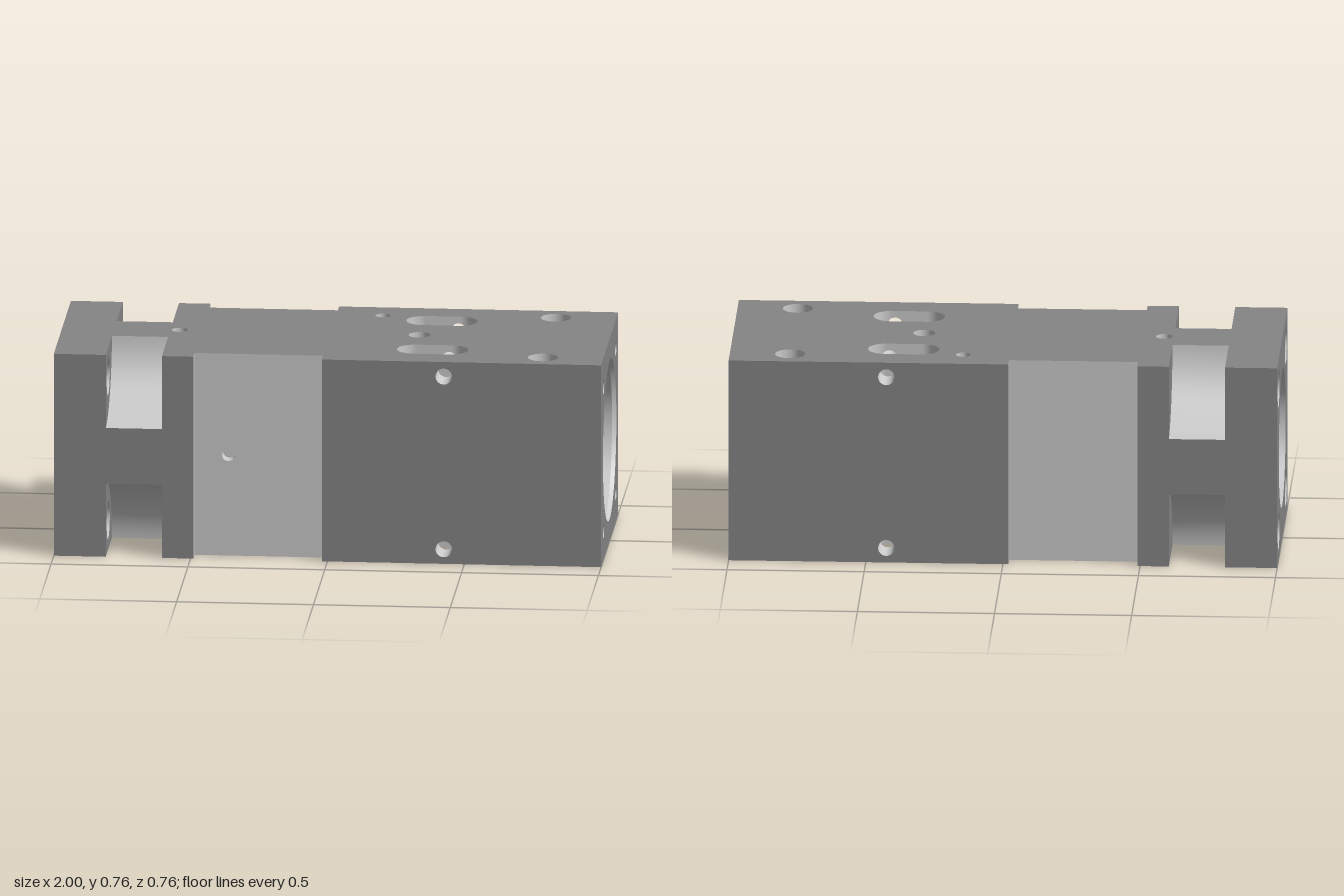
import * as THREE from 'three';

const H = 0.38; // half of the square section
const dark = new THREE.MeshStandardMaterial({ color: 0x858585, side: THREE.DoubleSide });
const light = new THREE.MeshStandardMaterial({ color: 0xcccccc, side: THREE.DoubleSide });

// Outline of a circle, or of a slot when half > 0
function slotPoints(u, v, r, half = 0, n = 48) {
  const pts = [];
  for (let i = 0; i <= n; i++) {
    const a = -Math.PI / 2 + (i / n) * Math.PI;
    pts.push([u + half + r * Math.cos(a), v + r * Math.sin(a)]);
  }
  const m = half ? 16 : 1;
  for (let i = 1; i < m; i++) pts.push([u + half - (2 * half * i) / m, v + r]);
  for (let i = 0; i <= n; i++) {
    const a = Math.PI / 2 + (i / n) * Math.PI;
    pts.push([u - half + r * Math.cos(a), v + r * Math.sin(a)]);
  }
  for (let i = 1; i < m; i++) pts.push([u - half + (2 * half * i) / m, v - r]);
  return pts;
}

const rect = (u0, v0, u1, v1) => [[u0, v0], [u1, v0], [u1, v1], [u0, v1]];

export function createModel() {
  const group = new THREE.Group();
  const body = new THREE.Group();
  body.name = 'housing';
  body.position.y = H;
  group.add(body);

  function add(name, geo, mat) {
    const mesh = new THREE.Mesh(geo, mat);
    mesh.name = name;
    body.add(mesh);
    return mesh;
  }

  // Flat face with holes, normal to an axis ('x', 'y' or 'z'), facing side +1 or -1
  function face(name, axis, at, side, outline, holes = [], mat = dark) {
    const vec = pts => pts.map(p => new THREE.Vector2(p[0], p[1]));
    const shape = new THREE.Shape(vec(outline));
    holes.forEach(h => shape.holes.push(new THREE.Path(vec(h))));
    const geo = new THREE.ShapeGeometry(shape);
    const pos = geo.attributes.position;
    for (let i = 0; i < pos.count; i++) {
      const u = pos.getX(i), v = pos.getY(i);
      if (axis === 'x') pos.setXYZ(i, at, v, u);
      else if (axis === 'y') pos.setXYZ(i, u, at, v);
      else pos.setXYZ(i, u, v, at);
    }
    // the x and y mappings mirror the plane
    if ((axis === 'z' ? 1 : -1) !== side) geo.index.array.reverse();
    geo.computeVertexNormals();
    return add(name, geo, mat);
  }

  // Surface between two rows of points
  function strip(name, a, b, mat = light) {
    const geo = new THREE.BufferGeometry(), index = [], n = a.length;
    geo.setAttribute('position', new THREE.Float32BufferAttribute([...a, ...b].flat(), 3));
    for (let i = 0; i < n - 1; i++) index.push(i, i + 1, n + i, i + 1, n + i + 1, n + i);
    geo.setIndex(index);
    geo.computeVertexNormals();
    return add(name, geo, mat);
  }

  // Round hole wall from a to b, with an optional floor at b
  function drill(name, a, b, r, floor = false) {
    const from = new THREE.Vector3(...a), to = new THREE.Vector3(...b);
    const dir = from.clone().sub(to), len = dir.length();
    dir.normalize();
    const wall = add(name, new THREE.CylinderGeometry(r, r, len, 48, 1, true), light);
    wall.position.copy(from).add(to).multiplyScalar(0.5);
    wall.quaternion.setFromUnitVectors(new THREE.Vector3(0, 1, 0), dir);
    if (!floor) return;
    const disc = add(name + 'Floor', new THREE.CircleGeometry(r, 48), light);
    disc.position.copy(to);
    disc.quaternion.setFromUnitVectors(new THREE.Vector3(0, 0, 1), dir);
  }

  // Bore wall, opened where the vertical cut crosses it on both sides
  function boreWall(R, x0, x1, cut) {
    const angles = [];
    for (let i = 0; i <= 160; i++) angles.push((i / 160) * Math.PI * 2);
    for (const e of [cut.z - cut.r, cut.z + cut.r]) {
      if (e >= R) continue;
      const t = Math.acos(e / R);
      for (const c of [t, Math.PI - t, Math.PI + t, 2 * Math.PI - t]) angles.push(c - 1e-4, c + 1e-4);
    }
    angles.sort((p, q) => p - q);
    const rows = [[], [], [], []];
    for (const t of angles) {
      const y = R * Math.sin(t), z = R * Math.cos(t), d = Math.abs(z) - cut.z;
      const w = Math.abs(d) < cut.r ? cut.half + Math.sqrt(cut.r ** 2 - d * d) : 0;
      [x0, cut.x - w, cut.x + w, x1].forEach((x, k) => rows[k].push([x, y, z]));
    }
    strip('boreWall', rows[0], rows[1]);
    strip('boreWall', rows[2], rows[3]);
  }

  // Walls of a vertical cut; they stop at the bore and leave room for the cross holes
  function cutWall(name, cut, side, R, bottom, cross) {
    const pts = slotPoints(cut.x, cut.z * side, cut.r, cut.half);
    pts.push(pts[0]);
    const row = f => pts.map(([x, z]) => [x, f(x, z), z]);
    const b = (x, z) => Math.sqrt(Math.max(0, R * R - z * z));
    const g = x => (cross ? Math.sqrt(Math.max(0, cross.r ** 2 - (x - cross.x) ** 2)) : 0);
    for (const s of [1, -1]) {
      const end = s > 0 ? H : bottom;
      if (cross) {
        strip(name, row((x, z) => s * b(x, z)), row(x => s * (cross.y - g(x))));
        strip(name, row(x => s * (cross.y + g(x))), row(() => end));
      } else strip(name, row((x, z) => s * b(x, z)), row(() => end));
    }
  }

  const slot = { x: 0.37, z: 0.205, r: 0.065, half: 0.065 };
  const counterbore = { x: 0.78, z: 0.285, r: 0.055, half: 0 };
  const cross = { x: 0.425, y: 0.325, r: 0.03 };
  const N0 = -0.81, N1 = -0.605, NE = 0.105; // corner notches
  const G0 = -0.49, G1 = -0.02, GZ = 0.325; // side recesses

  // Top and bottom plates
  const half = [[-1, H], [N0, H], [N0, NE], [N1, NE], [N1, H], [G0, H], [G0, GZ], [G1, GZ], [G1, H], [1, H]];
  const plan = [...half, ...half.map(([x, z]) => [x, -z]).reverse()];
  const slots = [1, -1].map(s => slotPoints(slot.x, s * slot.z, slot.r, slot.half));
  const bolts = r => [1, -1].map(s => slotPoints(counterbore.x, s * counterbore.z, r));
  const pin = slotPoints(0.15, -0.265, 0.027);
  face('topFace', 'y', H, 1, plan,
    [...slots, ...bolts(0.055), pin, slotPoints(-0.595 + 0.025, 0, 0.03), slotPoints(0.305, 0, 0.04)]);
  face('bottomFace', 'y', -H, -1, plan, [...slots, ...bolts(0.03), pin]);
  drill('pinHole', [0.15, H, -0.265], [0.15, -H, -0.265], 0.027);
  drill('locatingHole', [-0.57, H, 0], [-0.57, H - 0.06, 0], 0.03, true);
  drill('centreHole', [0.305, H, 0], [0.305, H - 0.07, 0], 0.04, true);

  // Sides, recesses, slots, bolt holes and cross holes
  for (const s of [1, -1]) {
    face('sideFace', 'z', s * H, s, rect(G1, -H, 1, H),
      [1, -1].map(k => slotPoints(cross.x, k * cross.y, cross.r)));
    face('endSideFace', 'z', s * H, s, [[-1, -H], [N0, -H], [N0, -NE], [N1, -NE], [N1, -H], [G0, -H],
      [G0, H], [N1, H], [N1, NE], [N0, NE], [N0, H], [-1, H]]);
    face('recessFace', 'z', s * GZ, s, rect(G0, -H, G1, H), s > 0 ? [slotPoints(-0.365, 0, 0.025)] : [], light);
    const ledge = rect(Math.min(s * GZ, s * H), -H, Math.max(s * GZ, s * H), H);
    face('recessLedge', 'x', G0, 1, ledge, [], light);
    face('recessLedge', 'x', G1, -1, ledge, [], light);

    cutWall('slotWall', slot, s, 0.25, -H, cross);
    cutWall('counterboreWall', counterbore, s, 0.288, -0.23);
    face('counterboreShelf', 'y', -0.23, 1, slotPoints(counterbore.x, s * counterbore.z, 0.055),
      [slotPoints(counterbore.x, s * counterbore.z, 0.03)], light);
    drill('boltHole', [counterbore.x, -0.23, s * counterbore.z], [counterbore.x, -H, s * counterbore.z], 0.03);

    for (const [z0, z1] of [[H, 0.27], [0.14, -0.14], [-0.27, -H]])
      drill('crossHole', [cross.x, s * cross.y, z0], [cross.x, s * cross.y, z1], cross.r);
  }
  drill('recessHole', [-0.365, 0, GZ], [-0.365, 0, GZ - 0.05], 0.025, true);

  // Ends with bore mouths and corner holes
  const square = rect(-H, -H, H, H);
  const corners = [[1, 1], [1, -1], [-1, 1], [-1, -1]];
  face('rightEnd', 'x', 1, 1, square,
    [slotPoints(0, 0, 0.298, 0, 80), ...corners.map(([a, b]) => slotPoints(a * 0.272, b * 0.272, 0.028))]);
  face('leftEnd', 'x', -1, -1, square, [slotPoints(0, 0, 0.255, 0, 80), slotPoints(0.165, 0.225, 0.015),
    ...corners.map(([a, b]) => slotPoints(a * 0.27, b * 0.27, 0.07))]);
  drill('dowelHole', [-1, 0.225, 0.165], [-0.92, 0.225, 0.165], 0.015, true);

  // Corner notches with hollow rounded floors
  const C = 0.4, R = Math.hypot(C - NE, C - H), t0 = Math.atan2(C - H, C - NE);
  for (const [a, b] of corners) {
    drill('threadedHole', [1, b * 0.272, a * 0.272], [0.88, b * 0.272, a * 0.272], 0.028, true);
    drill('flangeHole', [-1, b * 0.27, a * 0.27], [N0, b * 0.27, a * 0.27], 0.07);
    const arc = [];
    for (let i = 0; i <= 24; i++) {
      const t = t0 + (i / 24) * (Math.PI / 2 - 2 * t0);
      arc.push([a * (C - R * Math.cos(t)), b * (C - R * Math.sin(t))]);
    }
    strip('notchFloor', arc.map(([z, y]) => [N0, y, z]), arc.map(([z, y]) => [N1, y, z]));
    const corner = [...arc, [a * H, b * H]];
    face('notchFace', 'x', N0, 1, corner, [slotPoints(a * 0.27, b * 0.27, 0.07)]);
    face('notchFace', 'x', N1, -1, corner);
  }

  // Stepped through bore
  boreWall(0.288, 0.7, 0.985, counterbore);
  boreWall(0.25, 0.2, 0.7, slot);
  const lathe = (name, pts) => {
    const geo = new THREE.LatheGeometry(pts.map(p => new THREE.Vector2(p[0], p[1])), 160);
    add(name, geo.rotateZ(-Math.PI / 2), light);
  };
  lathe('boreChamfer', [[0.298, 1], [0.288, 0.985]]);
  lathe('boreStep', [[0.288, 0.7], [0.25, 0.7]]);
  lathe('innerStep', [[0.25, 0.2], [0.19, 0.2]]);
  lathe('innerBore', [[0.19, 0.2], [0.19, -0.1]]);
  lathe('leftStep', [[0.19, -0.1], [0.255, -0.1]]);
  lathe('leftBore', [[0.255, -0.1], [0.255, -1]]);
  return group;
}
